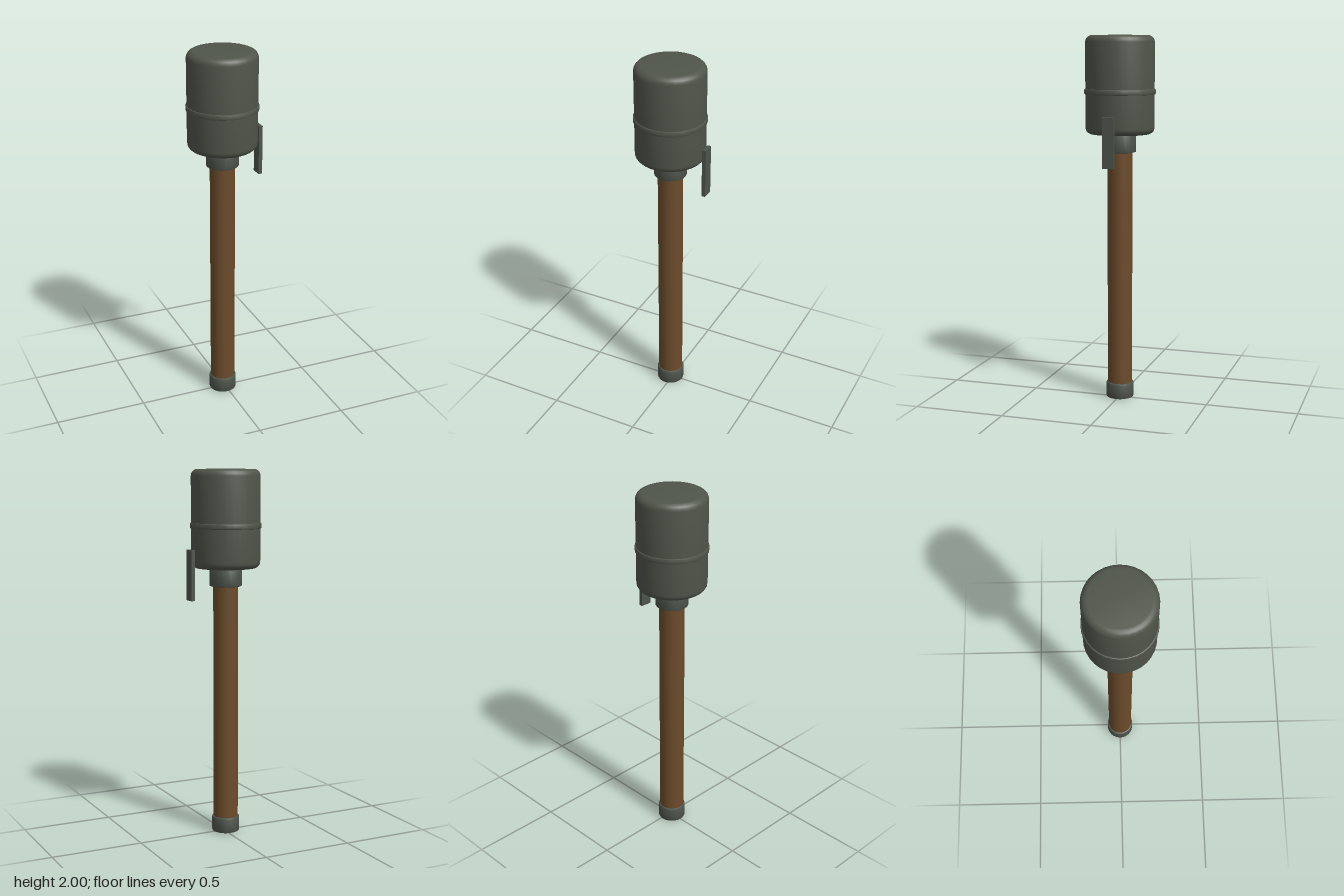
import * as THREE from 'three';
import { toCreasedNormals } from 'three/addons/utils/BufferGeometryUtils.js';

const AXIS_X = -0.013;

function material(name, color) {
  const m = new THREE.MeshStandardMaterial({ color });
  m.name = name;
  return m;
}

// Closed round solid between two heights, with rounded rims of the given radius
function roundSolid(radius, bottom, top, rim, steps) {
  const points = [new THREE.Vector2(0, bottom)];
  for (const upper of [false, true]) {
    for (let i = 0; i <= steps; i++) {
      const a = (i / steps) * Math.PI / 2 - (upper ? 0 : Math.PI / 2);
      points.push(new THREE.Vector2(
        radius - rim + rim * Math.cos(a),
        (upper ? top - rim : bottom + rim) + rim * Math.sin(a)));
    }
  }
  points.push(new THREE.Vector2(0, top));
  return toCreasedNormals(new THREE.LatheGeometry(points, 32), 0.6);
}

export function createModel() {
  const group = new THREE.Group();
  const olive = material('olive grey paint', 0x50554a);
  const metal = material('grey metal', 0x4e544c);
  const wood = material('brown wood', 0x6b4b2b);

  function add(name, geometry, mat, x = AXIS_X, y = 0, z = 0) {
    const mesh = new THREE.Mesh(geometry, mat);
    mesh.name = name;
    mesh.position.set(x, y, z);
    group.add(mesh);
  }

  // Large canister head with a raised band
  add('head', roundSolid(0.187, 1.472, 2, 0.036, 5), olive);
  add('headBand', roundSolid(0.193, 1.686, 1.715, 0.004, 2), olive);

  // Neck collar, long handle and end cap
  add('collar', roundSolid(0.088, 1.374, 1.49, 0.007, 2), metal);
  add('handle', new THREE.CylinderGeometry(0.068, 0.068, 1.34, 32), wood, AXIS_X, 0.72);
  add('endCap', roundSolid(0.076, 0, 0.087, 0.008, 2), metal);

  // Flat clip standing beside the head
  add('sideClip', new THREE.BoxGeometry(0.021, 0.27, 0.063), metal, 0.195, 1.44, 0);

  return group;
}
